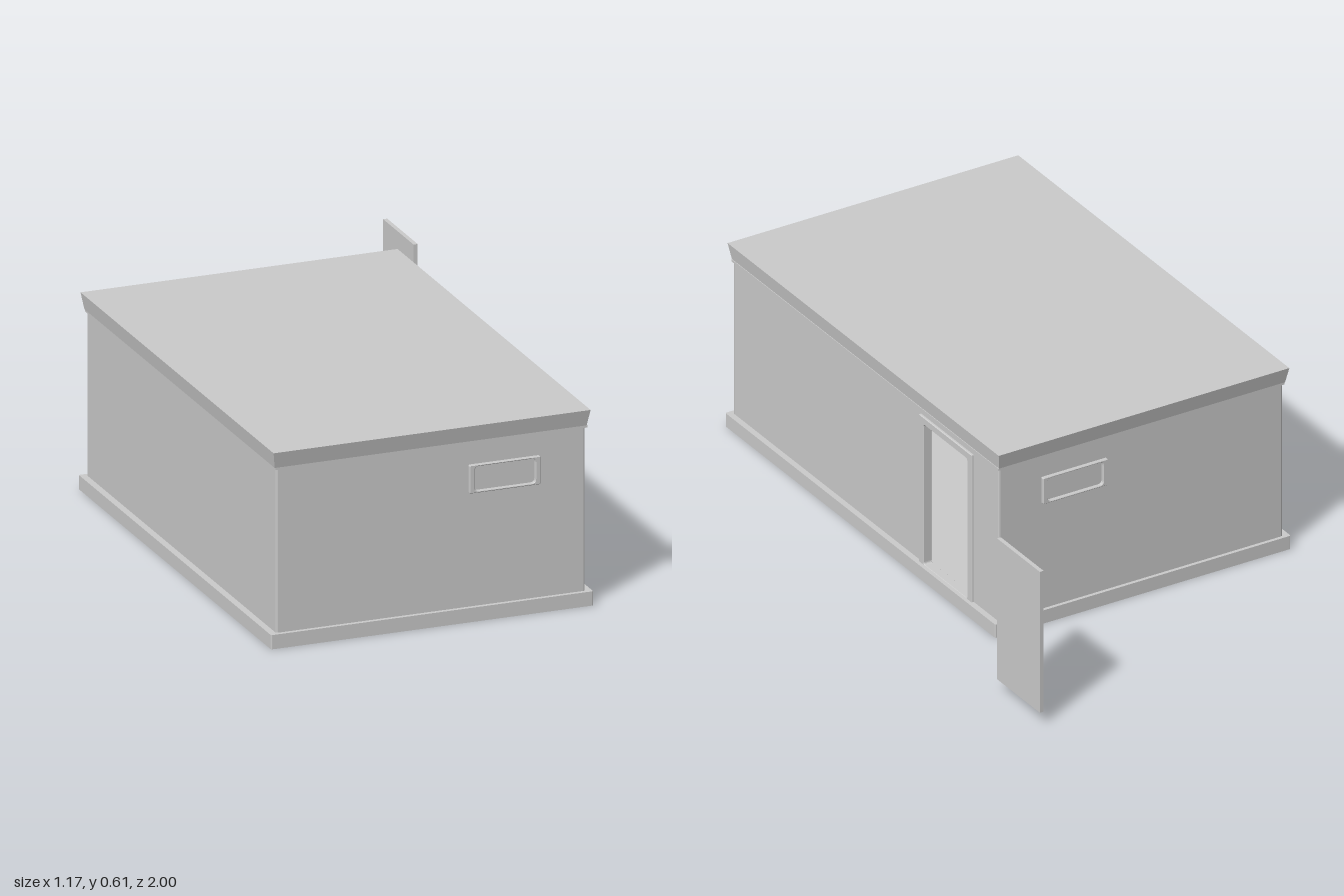
import * as THREE from 'three';

const mat = new THREE.MeshStandardMaterial({ color: 0xcccccc, flatShading: true });

// Plan of the hut
const X0 = -0.566, X1 = 0.405, Z0 = -0.481, Z1 = 0.985;
const CX = (X0 + X1) / 2, CZ = (Z0 + Z1) / 2;
const FLOOR = 0.044, WALL_TOP = 0.553, T = 0.02, C = 0.006;

// Rectangle with rounded corners, as a Shape or a Path for holes
function rect(Type, x0, x1, y0, y1, r = 0) {
  const p = new Type();
  p.moveTo(x0 + r, y0);
  p.lineTo(x1 - r, y0);
  if (r) p.quadraticCurveTo(x1, y0, x1, y0 + r);
  p.lineTo(x1, y1 - r);
  if (r) p.quadraticCurveTo(x1, y1, x1 - r, y1);
  p.lineTo(x0 + r, y1);
  if (r) p.quadraticCurveTo(x0, y1, x0, y1 - r);
  p.lineTo(x0, y0 + r);
  if (r) p.quadraticCurveTo(x0, y0, x0 + r, y0);
  return p;
}

// Plate with a hole, filling z = 0 to depth, with optional bevelled edges
function plate(outer, hole, depth, bevel = 0) {
  const s = rect(THREE.Shape, ...outer);
  s.holes.push(rect(THREE.Path, ...hole));
  return new THREE.ExtrudeGeometry(s, {
    depth: depth - 2 * bevel, curveSegments: 4, bevelEnabled: bevel > 0,
    bevelSize: bevel, bevelThickness: bevel, bevelOffset: -bevel, bevelSegments: 1,
  }).translate(0, 0, bevel);
}

function box(x0, x1, y0, y1, z0, z1) {
  return new THREE.BoxGeometry(x1 - x0, y1 - y0, z1 - z0)
    .translate((x0 + x1) / 2, (y0 + y1) / 2, (z0 + z1) / 2);
}

export function createModel() {
  const group = new THREE.Group();
  const add = (name, geo) => {
    const m = new THREE.Mesh(geo, mat);
    m.name = name;
    group.add(m);
  };

  // Thin base rim, hollow underneath, closed by a floor near its top
  const BX0 = -0.587, BX1 = 0.424, BZ0 = -0.492, BZ1 = 0.998, R = 0.008;
  add('baseRim', plate([BX0, BX1, -BZ1, -BZ0, 0.004],
    [BX0 + R, BX1 - R, -BZ1 + R, -BZ0 - R], FLOOR).rotateX(-Math.PI / 2));
  add('floor', box(BX0 + R, BX1 - R, FLOOR - 0.008, FLOOR, BZ0 + R, BZ1 - R));

  // Long walls; the doorway is cut into the left one
  add('rightWall', box(X0, X0 + T, FLOOR - 0.002, WALL_TOP, Z0 + C, Z1 - C));
  const door = [0.075, 0.318, FLOOR, 0.512, 0.008];
  const leftWall = plate([-Z1 + C, -Z0 - C, FLOOR - 0.002, WALL_TOP], door, T);
  add('leftWall', leftWall.rotateY(Math.PI / 2).translate(X1 - T, 0, 0));

  // End walls, each with a framed window in front of a closed pane
  for (const [side, z, out] of [['front', Z1, 1], ['back', Z0, -1]]) {
    const zi = z - out * T;
    add(side + 'Wall', box(X0 + C, X1 - C, FLOOR - 0.002, WALL_TOP, Math.min(z, zi), Math.max(z, zi)));
    const frame = plate([0.037, 0.26, 0.396, 0.483, 0.004], [0.054, 0.244, 0.402, 0.478, 0.012], 0.014, 0.002);
    add(side + 'WindowFrame', frame.translate(0, 0, out > 0 ? z - 0.003 : z - 0.011));
  }

  // Softened wall corners
  for (const x of [X0 + C, X1 - C]) {
    for (const z of [Z0 + C, Z1 - C]) {
      const h = WALL_TOP - FLOOR;
      add('cornerPost', new THREE.CylinderGeometry(C, C, h, 8).translate(x, FLOOR + h / 2, z));
    }
  }

  // Door frame standing proud of the wall and lining the opening
  const doorFrame = plate([0.05, 0.342, FLOOR - 0.003, 0.534, 0.003],
    [0.077, 0.316, FLOOR + 0.001, 0.51, 0.008], T + 0.008, 0.002);
  add('doorFrame', doorFrame.rotateY(Math.PI / 2).translate(X1 - T - 0.001, 0, 0));

  // Roof: narrow band below a slab that flares outwards to the top
  add('roofBand', box(X0 - 0.004, X1 + 0.004, 0.549, 0.556, Z0 - 0.004, Z1 + 0.004));
  const roof = new THREE.BoxGeometry(1, 0.05, 1);
  const p = roof.attributes.position;
  for (let i = 0; i < p.count; i++) {
    const top = p.getY(i) > 0;
    p.setX(i, p.getX(i) * (top ? 0.995 : 0.979));
    p.setZ(i, p.getZ(i) * (top ? 1.496 : 1.474));
  }
  roof.computeVertexNormals();
  add('roof', roof.translate(CX - 0.002, 0.581, CZ));

  // Separate door leaf standing apart from the hut
  add('doorLeaf', box(0.574, 0.587, 0.04, 0.509, -1, -0.764));

  return group;
}
